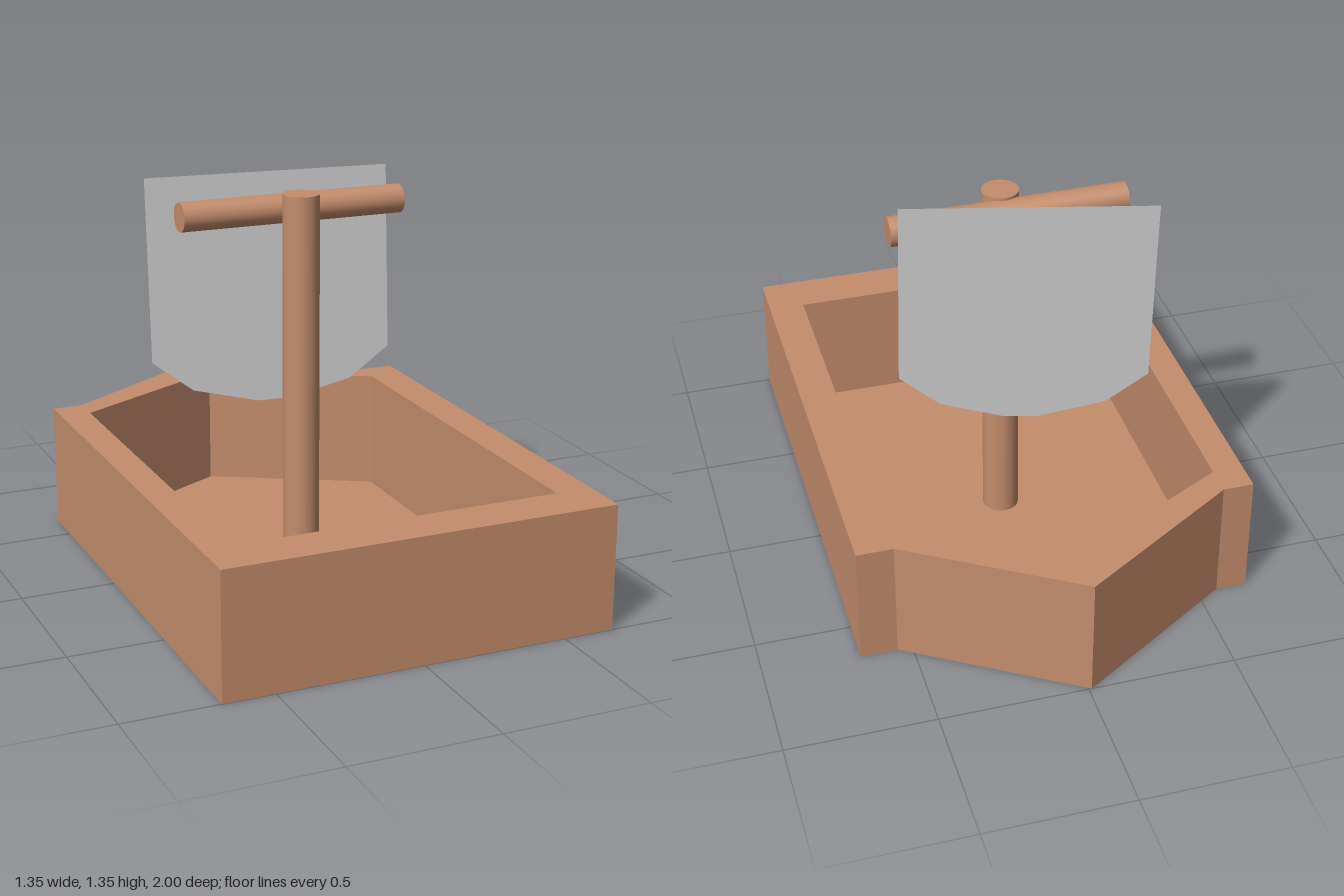
import * as THREE from 'three';

const wood = new THREE.MeshStandardMaterial({ color: 0xc48d6c });
const cloth = new THREE.MeshStandardMaterial({ color: 0xcccccc, side: THREE.DoubleSide });

// Plan corners as [x, z]
const OUTER = [[-0.675, 1], [0.675, 1], [0.675, -0.65], [0.55, -0.65], [-0.01, -1], [-0.57, -0.65], [-0.675, -0.65]];
const INNER = [[-0.57, 0.835], [0.55, 0.835], [0.55, -0.55], [0.005, -0.85], [-0.57, -0.55]];
const HULL_HEIGHT = 0.43;
const FLOOR_THICKNESS = 0.005;

const planPoints = (corners) => corners.map(([x, z]) => new THREE.Vector2(x, -z));

// Raises a plan shape from y = 0 to the given height
function raise(shape, height) {
  return new THREE.ExtrudeGeometry(shape, { depth: height, bevelEnabled: false }).rotateX(-Math.PI / 2);
}

function addPart(group, name, geometry, material) {
  const mesh = new THREE.Mesh(geometry, material);
  mesh.name = name;
  group.add(mesh);
  return mesh;
}

// Round pole running between two points
function addPole(group, name, radius, from, to) {
  const a = new THREE.Vector3(...from);
  const b = new THREE.Vector3(...to);
  const pole = addPart(group, name, new THREE.CylinderGeometry(radius, radius, a.distanceTo(b), 32), wood);
  pole.position.copy(a).add(b).multiplyScalar(0.5);
  pole.quaternion.setFromUnitVectors(new THREE.Vector3(0, 1, 0), b.sub(a).normalize());
}

export function createModel() {
  const boat = new THREE.Group();
  boat.name = 'sailboat';

  // Hull: thick walls around an open well, with a thin floor
  const walls = new THREE.Shape(planPoints(OUTER));
  walls.holes.push(new THREE.Path(planPoints(INNER)));
  addPart(boat, 'hullWalls', raise(walls, HULL_HEIGHT), wood);
  addPart(boat, 'hullFloor', raise(new THREE.Shape(planPoints(INNER)), FLOOR_THICKNESS), wood);

  // Mast and crossbar
  addPole(boat, 'mast', 0.063, [0.01, 0, 0.017], [0.01, 1.295, 0.017]);
  addPole(boat, 'crossbar', 0.05, [-0.402, 1.238, -0.043], [0.404, 1.234, -0.049]);

  // Sail: flat sheet with a faceted lower edge, sheared so its left side comes forward
  const sail = new THREE.ShapeGeometry(new THREE.Shape([
    [-0.44, 1.327], [-0.425, 0.675], [-0.285, 0.567], [-0.06, 0.516],
    [0.055, 0.521], [0.26, 0.58], [0.395, 0.692], [0.38, 1.345],
  ].map(([x, y]) => new THREE.Vector2(x, y))));
  const p = sail.attributes.position;
  for (let i = 0; i < p.count; i++) p.setZ(i, -0.185 + 0.216 * p.getX(i));
  sail.computeVertexNormals();
  addPart(boat, 'sail', sail, cloth);

  return boat;
}
